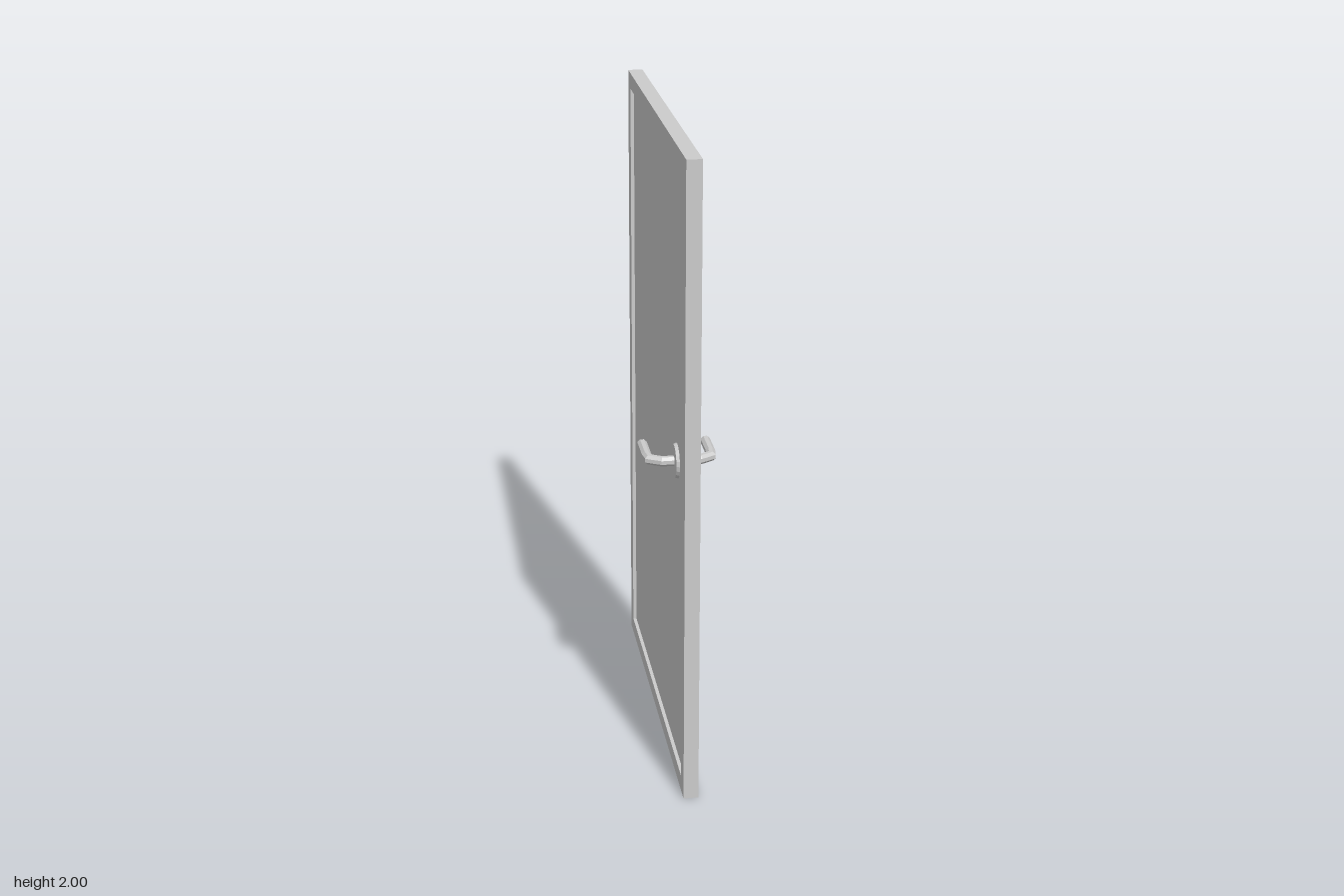
import * as THREE from 'three';

const HALF_W = 0.59, HEIGHT = 2, THICK = 0.046, RAIL = 0.05;
const PANEL_T = 0.024, HANDLE_Y = 1.031, HANDLE_Z = 0.377;

const material = new THREE.MeshStandardMaterial({ color: 0xcccccc, flatShading: true });

function addMesh(parent, name, geometry) {
  const mesh = new THREE.Mesh(geometry, material);
  mesh.name = name;
  parent.add(mesh);
  return mesh;
}

// Rectangle with corners (-w, y0) and (w, y1)
function rectangle(Type, w, y0, y1) {
  return new Type([[-w, y0], [w, y0], [w, y1], [-w, y1]].map(([x, y]) => new THREE.Vector2(x, y)));
}

// Mitred bar along a flat path of [x, z, radius] points; radius 0 closes the ends
function sweepBar(path, sides) {
  const positions = [], indices = [];
  const points = path.map(([x, z]) => new THREE.Vector2(x, z));
  path.forEach(([x, z, r], i) => {
    const before = points[i].clone().sub(points[Math.max(i - 1, 0)]).normalize();
    const after = points[Math.min(i + 1, path.length - 1)].clone().sub(points[i]).normalize();
    const t = before.clone().add(after).normalize();
    const mitre = 1 / Math.max(t.dot(after), t.dot(before), 0.5);
    for (let j = 0; j < sides; j++) {
      const a = ((j + 0.5) / sides) * Math.PI * 2;
      const u = Math.cos(a) * r * mitre;
      positions.push(x + t.y * u, Math.sin(a) * r, z - t.x * u);
      if (i === path.length - 1) continue;
      const k = (j + 1) % sides, row = i * sides, next = row + sides;
      indices.push(row + j, row + k, next + j, row + k, next + k, next + j);
    }
  });
  const geometry = new THREE.BufferGeometry();
  geometry.setAttribute('position', new THREE.Float32BufferAttribute(positions, 3));
  geometry.setIndex(indices);
  geometry.computeVertexNormals();
  return geometry;
}

export function createModel() {
  const door = new THREE.Group();
  door.name = 'door';

  // Raised border around the leaf
  const outline = rectangle(THREE.Shape, HALF_W, 0, HEIGHT);
  outline.holes.push(rectangle(THREE.Path, HALF_W - RAIL, RAIL, HEIGHT - RAIL));
  const frame = new THREE.ExtrudeGeometry(outline, { depth: THICK, bevelEnabled: false });
  frame.translate(0, 0, -THICK / 2).rotateY(-Math.PI / 2);
  addMesh(door, 'frame', frame);

  // Recessed panel
  const panel = new THREE.BoxGeometry(PANEL_T, HEIGHT - 2 * RAIL, 2 * (HALF_W - RAIL));
  addMesh(door, 'panel', panel).position.y = HEIGHT / 2;

  // Round plates behind the handles
  for (const side of [1, -1]) {
    const plate = new THREE.CylinderGeometry(0.05, 0.054, 0.01, 20);
    plate.rotateZ(-side * Math.PI / 2);
    addMesh(door, side > 0 ? 'leftPlate' : 'rightPlate', plate)
      .position.set(side * (PANEL_T / 2 + 0.005), HANDLE_Y, HANDLE_Z);
  }

  // Lever handles on both sides, joined by the spindle through the door
  const r = 0.0155;
  const half = [
    [0.057, HANDLE_Z, r], [0.093, 0.356, r], [0.097, 0.325, r],
    [0.097, 0.23, r], [0.097, 0.225, r * 0.75], [0.097, 0.2249, 0],
  ];
  const mirrored = half.map(([x, z, radius]) => [-x, z, radius]).reverse();
  addMesh(door, 'handles', sweepBar([...mirrored, ...half], 8)).position.y = HANDLE_Y;

  return door;
}
